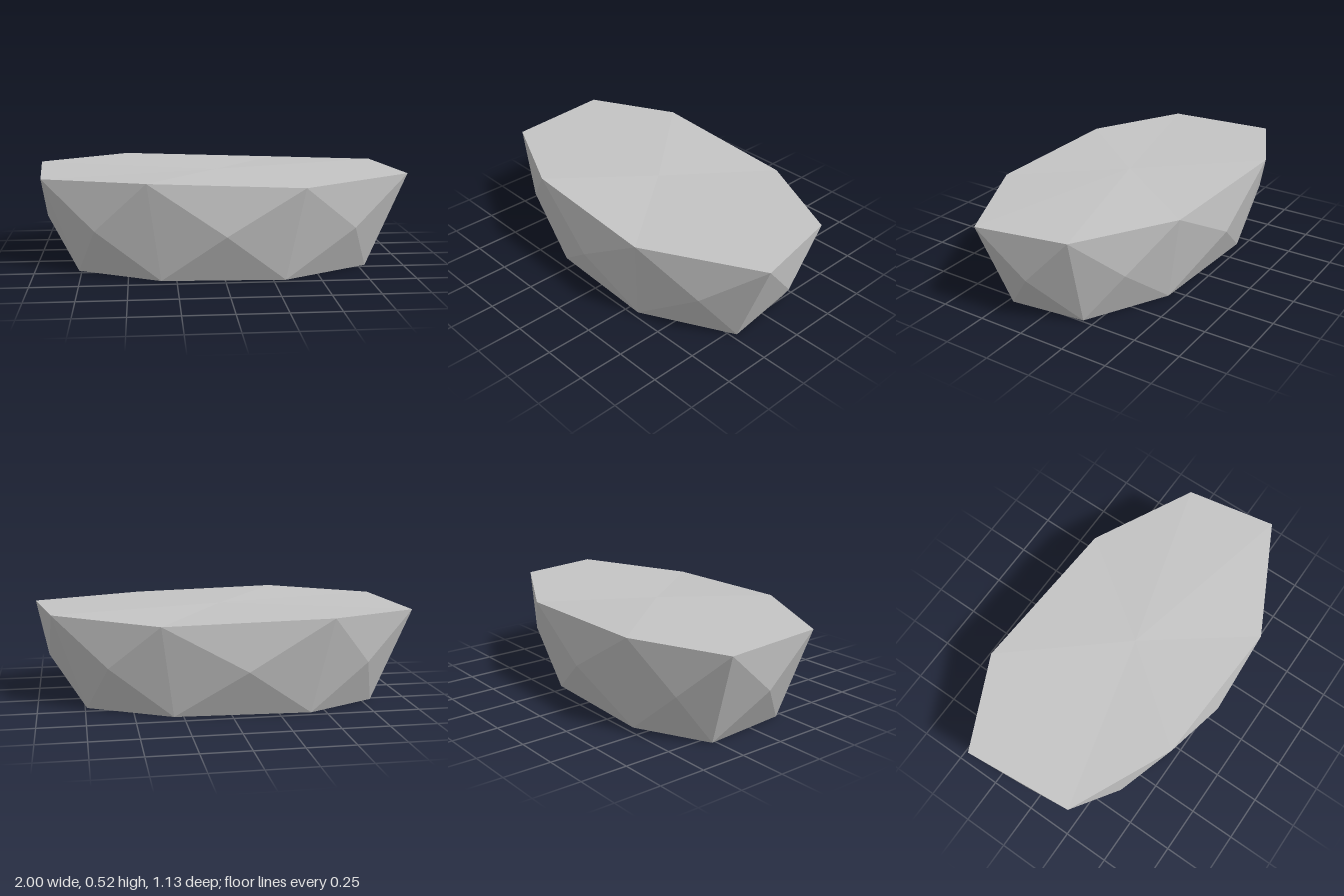
import * as THREE from 'three';

export function createModel() {
  const group = new THREE.Group();
  group.name = 'rock';
  const stone = new THREE.MeshStandardMaterial({ color: 0xc4c4c4 });
  stone.name = 'stone grey';
  stone.flatShading = true;

  // Top rim, clockwise seen from above
  const top = [
    [-0.51, 0.52, -0.565], [0.37, 0.495, -0.52], [0.91, 0.517, -0.235], [1, 0.513, 0.25],
    [0.4, 0.498, 0.555], [-0.4, 0.524, 0.515], [-0.945, 0.51, 0.257], [-1, 0.51, -0.335],
  ];
  // Narrower foot under each rim corner
  const foot = [
    [-0.42, 0, -0.46], [0.3, 0, -0.425], [0.74, 0, -0.19], [0.79, 0, 0.22],
    [0.315, 0, 0.47], [-0.33, 0, 0.44], [-0.765, 0, 0.21], [-0.805, 0, -0.27],
  ];
  // Raised facet point in the middle of each side
  const mid = [
    [-0.07, 0.255, -0.56], [0.63, 0.255, -0.37], [0.93, 0.255, 0.01], [0.69, 0.255, 0.405],
    [0, 0.255, 0.563], [-0.67, 0.255, 0.385], [-0.945, 0.255, -0.03], [-0.73, 0.255, -0.44],
  ];
  const topCentre = [-0.01, 0.513, 0.02];
  const footCentre = [0, 0, 0];

  // Four triangles per side, plus a fan on the top and underneath
  const positions = [];
  const tri = (...corners) => corners.forEach((c) => positions.push(...c));
  for (let i = 0; i < 8; i++) {
    const j = (i + 1) % 8;
    tri(top[i], top[j], mid[i]);
    tri(top[j], foot[j], mid[i]);
    tri(foot[j], foot[i], mid[i]);
    tri(foot[i], top[i], mid[i]);
    tri(topCentre, top[j], top[i]);
    tri(footCentre, foot[i], foot[j]);
  }
  const geometry = new THREE.BufferGeometry();
  geometry.setAttribute('position', new THREE.Float32BufferAttribute(positions, 3));
  geometry.computeVertexNormals();

  const mesh = new THREE.Mesh(geometry, stone);
  mesh.name = 'rockBody';
  group.add(mesh);
  return group;
}
